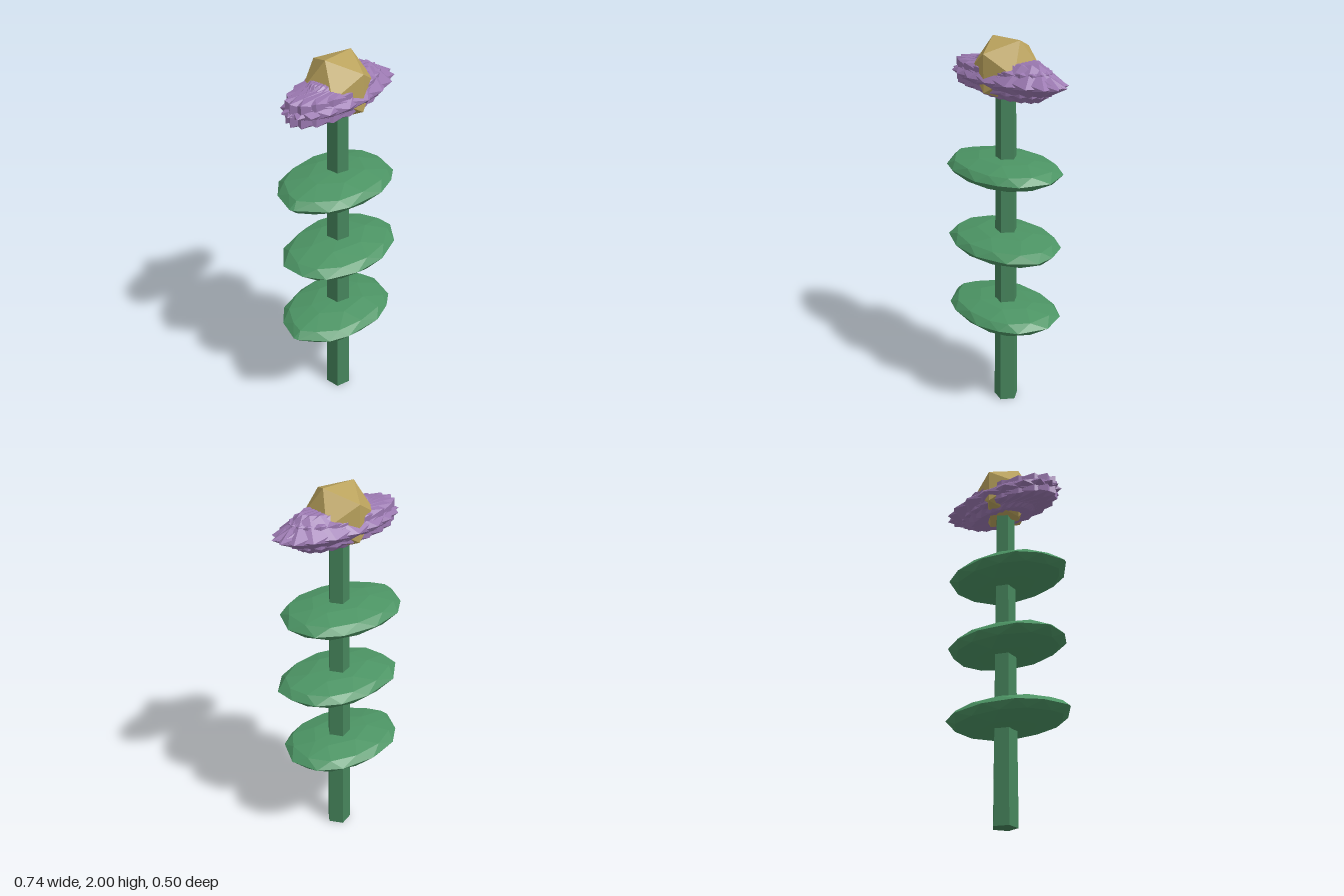
import * as THREE from 'three';
import { ConvexGeometry } from 'three/addons/geometries/ConvexGeometry.js';

const flat = (color) => new THREE.MeshStandardMaterial({ color, flatShading: true });

function add(parent, name, geometry, material, x = 0, y = 0, z = 0) {
  const mesh = new THREE.Mesh(geometry, material);
  mesh.name = name;
  mesh.position.set(x, y, z);
  parent.add(mesh);
  return mesh;
}

// Faceted lens: full outline at the middle, smaller rings above and below
function leafGeometry(outline) {
  const n = outline.length;
  const points = [];
  const rings = [[1, 0, 1, 0], [0.9, 0.034, 1, 0.5], [0.5, 0.059, 2, 0]];
  for (const [scale, height, step, shift] of rings) {
    for (let i = 0; i < n; i += step) {
      const a = outline[i], b = outline[(i + 1) % n];
      const x = (a[0] + (b[0] - a[0]) * shift) * scale;
      const z = (a[1] + (b[1] - a[1]) * shift) * scale;
      for (const side of height ? [1, -1] : [1]) points.push(new THREE.Vector3(x, height * side, z));
    }
  }
  points.push(new THREE.Vector3(0, 0.065, 0), new THREE.Vector3(0, -0.065, 0));
  return new ConvexGeometry(points);
}

export function createModel() {
  const model = new THREE.Group();
  model.name = 'flower';
  const green = flat(0x4c9464);
  const stemGreen = flat(0x46855c);
  const purple = flat(0x9a78b0);
  const gold = flat(0xbba35d);
  const cz = -0.005;

  // Tapered five-sided stem with one edge facing +x
  add(model, 'stem', new THREE.CylinderGeometry(0.053, 0.067, 1.78, 5, 1, false, Math.PI / 2),
    stemGreen, 0, 0.89, cz);

  // Three leaf discs; the middle one has blunter ends
  const pointed = [[0.315, 0], [0.25, 0.15], [0.16, 0.205], [0.035, 0.24], [-0.17, 0.21], [-0.27, 0.16],
    [-0.365, 0.025], [-0.37, 0], [-0.31, -0.13], [-0.21, -0.215], [-0.035, -0.25], [0.15, -0.22], [0.265, -0.145]];
  const blunt = [[0.325, 0.09], [0.215, 0.2], [0.045, 0.25], [-0.13, 0.23], [-0.28, 0.15], [-0.335, 0.04],
    [-0.33, -0.09], [-0.21, -0.2], [0, -0.235], [0.15, -0.21], [0.265, -0.14], [0.32, -0.02]];
  add(model, 'lowerLeaf', leafGeometry(pointed), green, 0, 0.545, 0);
  add(model, 'middleLeaf', leafGeometry(blunt), green, 0, 0.945, 0);
  add(model, 'upperLeaf', leafGeometry(pointed), green, 0, 1.34, 0);

  // Ring of overlapping petals, each turned half as far as its place on the ring
  const petals = new THREE.Group();
  petals.name = 'petals';
  petals.position.set(0, 1.812, cz - 0.002);
  petals.scale.set(1, 0.3, 0.433);
  model.add(petals);
  const petal = new THREE.IcosahedronGeometry(0.363, 0);
  for (let i = 0; i < 10; i++) {
    const angle = (i / 10) * Math.PI * 2;
    const mesh = add(petals, 'petal', petal, purple, 0.026 * Math.cos(angle), 0, 0.026 * Math.sin(angle));
    mesh.rotation.y = -angle / 2;
  }

  // Faceted flower centre
  add(model, 'flowerCentre', new THREE.IcosahedronGeometry(0.178, 0), gold, 0, 1.849, cz);

  return model;
}
